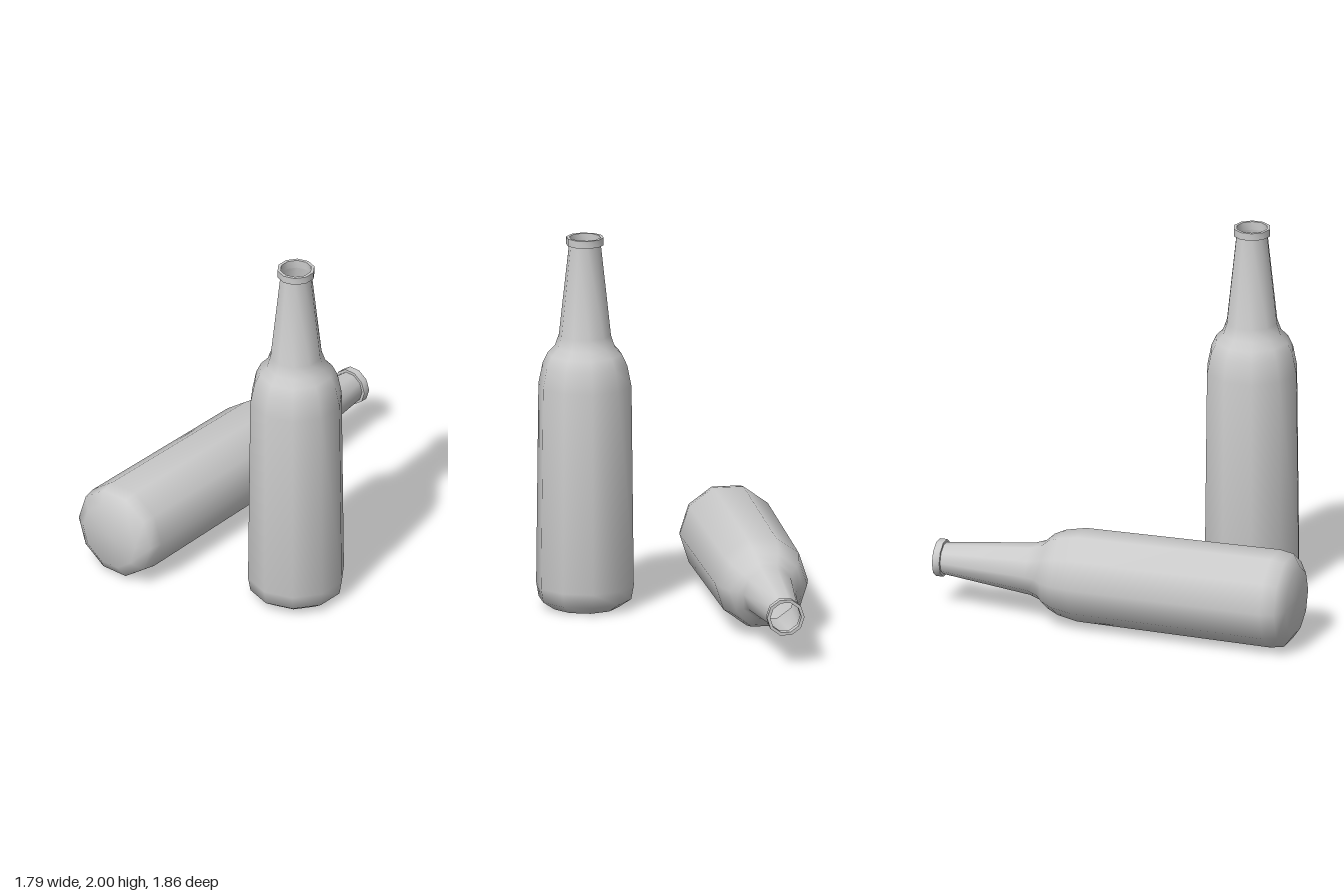
import * as THREE from 'three';
import { toCreasedNormals } from 'three/addons/utils/BufferGeometryUtils.js';

// Bottle outline as [radius, height], from base centre up to the inner lip
const PROFILE = [
  [0, 0], [0.18, 0], [0.247, 0.045], [0.26, 0.12], [0.248, 1.2],
  [0.226, 1.31], [0.198, 1.37], [0.16, 1.41], [0.139, 1.47],
  [0.085, 1.96], [0.1, 1.96], [0.1, 2], [0.083, 2], [0.083, 1.955],
];
const SIDES = 10;

function makeBottle(name, material) {
  const points = PROFILE.map(([r, y]) => new THREE.Vector2(r, y));
  // Start at +x so that a corner of the ten-sided body points sideways
  const lathe = new THREE.LatheGeometry(points, SIDES, Math.PI / 2);
  const bottle = new THREE.Mesh(toCreasedNormals(lathe, 0.95), material);
  bottle.name = name;
  return bottle;
}

export function createModel() {
  const group = new THREE.Group();
  group.name = 'bottles';
  const glass = new THREE.MeshStandardMaterial({ color: 0xcccccc, side: THREE.DoubleSide });

  const standing = makeBottle('standingBottle', glass);
  standing.position.set(0.13, 0, 0.68);

  // Lying on its side behind, neck towards the back and the model's left
  const lying = makeBottle('lyingBottle', glass);
  lying.rotation.set(-Math.PI / 2, -Math.atan2(1.62, 1.17), 0, 'YXZ');
  lying.position.set(-0.795, 0.26, 0.32);

  group.add(standing, lying);
  return group;
}
